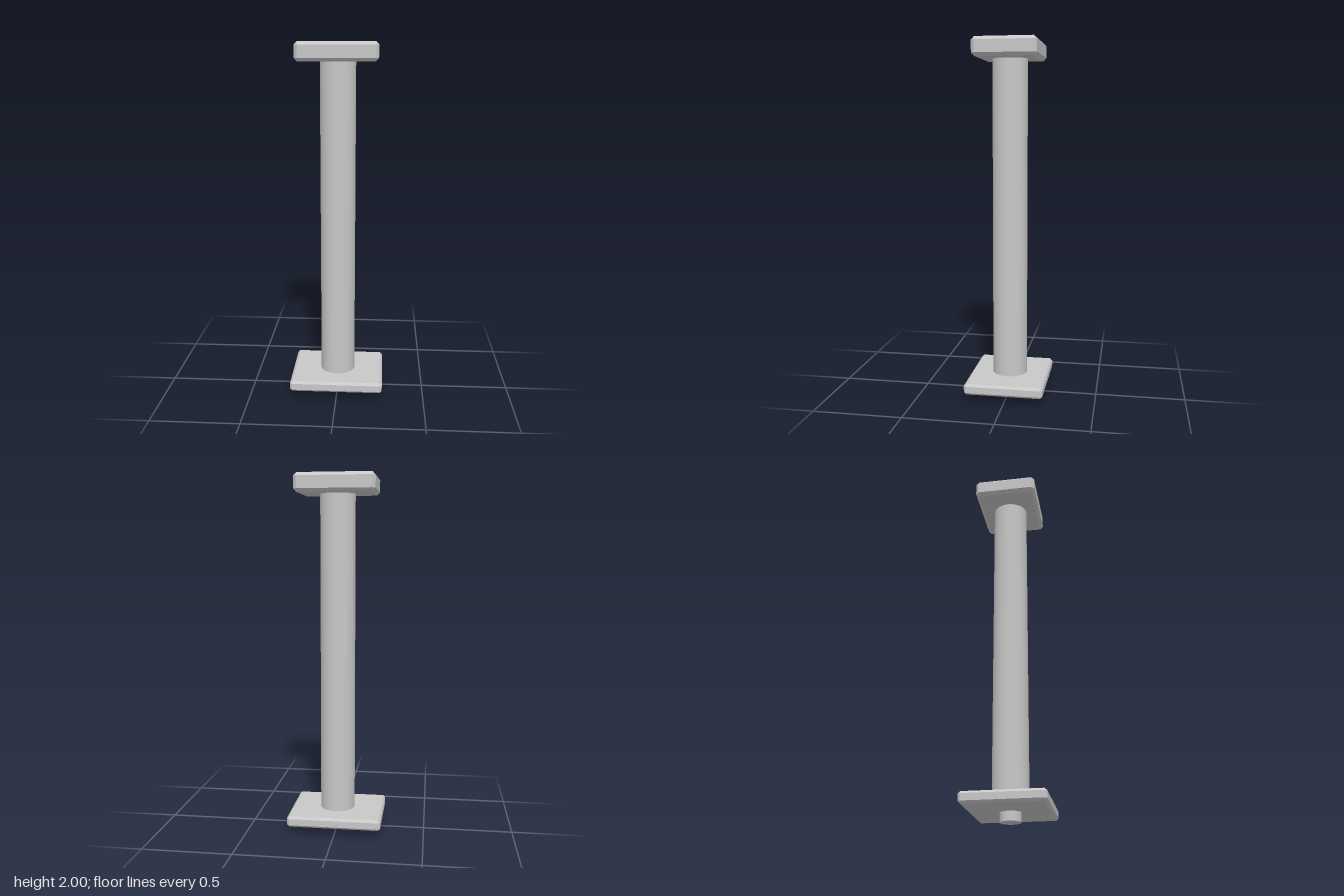
import * as THREE from 'three';
import { ConvexGeometry } from 'three/addons/geometries/ConvexGeometry.js';

// Box centred on the origin with every edge cut by a flat chamfer c
function chamferedBox(w, h, d, c) {
  const points = [];
  for (const sx of [-1, 1]) for (const sy of [-1, 1]) for (const sz of [-1, 1]) {
    const [x, y, z] = [w / 2, h / 2, d / 2];
    points.push(
      new THREE.Vector3(sx * x, sy * (y - c), sz * (z - c)),
      new THREE.Vector3(sx * (x - c), sy * y, sz * (z - c)),
      new THREE.Vector3(sx * (x - c), sy * (y - c), sz * z)
    );
  }
  return new ConvexGeometry(points);
}

export function createModel() {
  const group = new THREE.Group();
  const grey = new THREE.MeshStandardMaterial({ color: 0xc8c8c8 });
  grey.name = 'light grey';

  const add = (name, geometry, bottom, top) => {
    const mesh = new THREE.Mesh(geometry, grey);
    mesh.name = name;
    mesh.position.y = (bottom + top) / 2;
    group.add(mesh);
  };
  const plate = (name, w, d, c, bottom, top) =>
    add(name, chamferedBox(w, top - bottom, d, c), bottom, top);
  const rod = (name, r, bottom, top) =>
    add(name, new THREE.CylinderGeometry(r, r, top - bottom, 32), bottom, top);

  // Short locating pin under the base
  rod('bottomPin', 0.056, 0, 0.06);
  // Wide thin plate at the foot
  plate('basePlate', 0.526, 0.44, 0.013, 0.05, 0.112);
  // Round post
  rod('column', 0.098, 0.1, 1.91);
  // Thicker, smaller plate at the head
  plate('topPlate', 0.44, 0.352, 0.018, 1.897, 2);

  return group;
}
